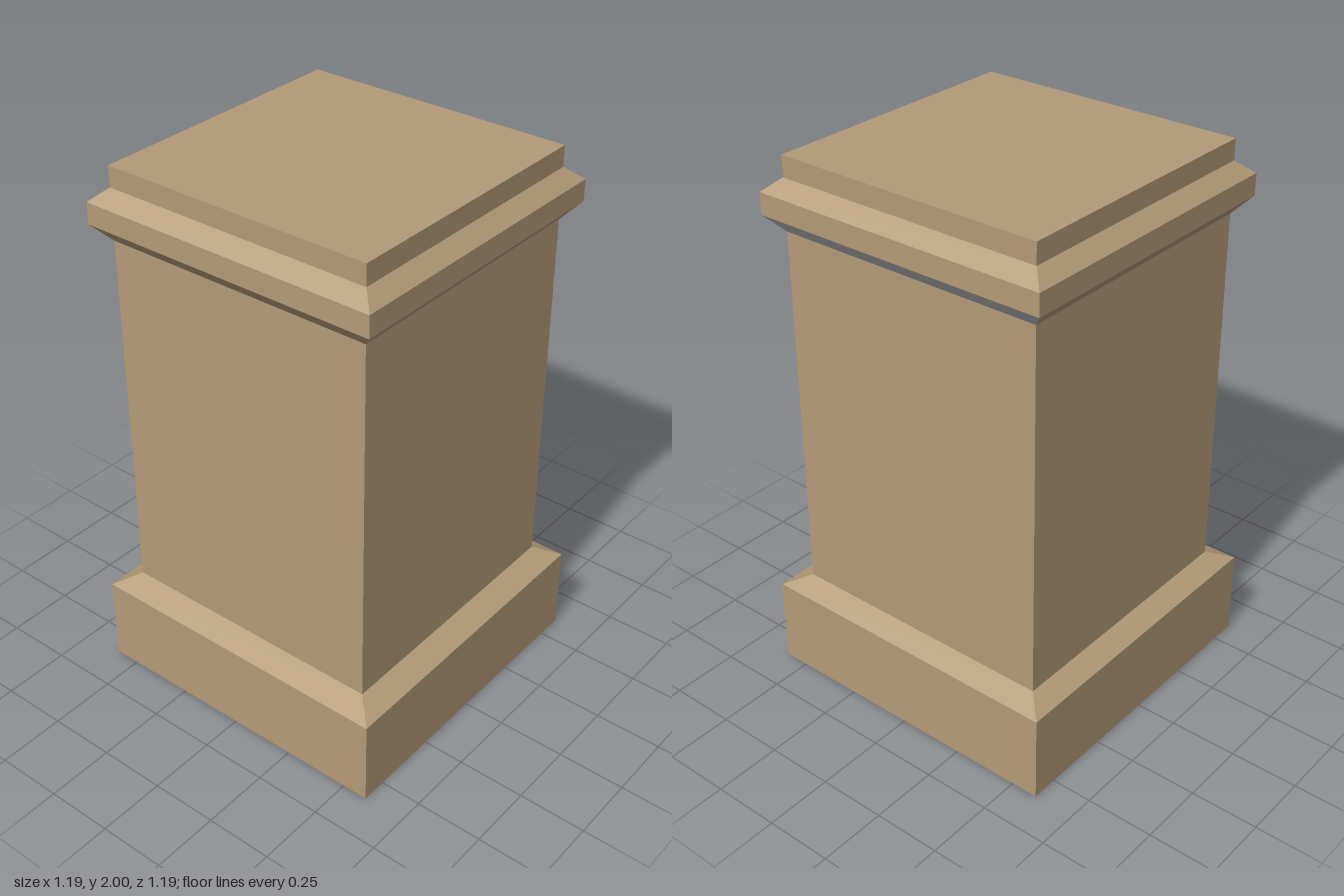
import * as THREE from 'three';

const OFFSET = -0.007; // shaft and cornice sit slightly off the plinth's centre

// Square ring of a given half width and height, counter-clockwise from above
function ring(half, y, offset = OFFSET) {
  return [[-1, 1], [1, 1], [1, -1], [-1, -1]].map(
    ([x, z]) => [x * half + offset, y, z * half + offset]);
}

// Open, flat-sided shell through square rings; sides run front, +x, back, -x
function shell(rings, materialOf = () => 0) {
  const positions = [];
  const geometry = new THREE.BufferGeometry();
  for (let i = 0; i < rings.length - 1; i++) {
    const lower = rings[i], upper = rings[i + 1];
    for (let side = 0; side < 4; side++) {
      const next = (side + 1) % 4;
      const a = lower[side], b = lower[next], c = upper[next], d = upper[side];
      geometry.addGroup(positions.length / 3, 6, materialOf(i, side));
      positions.push(...a, ...b, ...c, ...a, ...c, ...d);
    }
  }
  geometry.setAttribute('position', new THREE.Float32BufferAttribute(positions, 3));
  geometry.computeVertexNormals();
  return geometry;
}

export function createModel() {
  const group = new THREE.Group();
  const stone = new THREE.MeshStandardMaterial({ color: 0xb39a78, side: THREE.DoubleSide });
  stone.name = 'tan stone';
  const grey = new THREE.MeshStandardMaterial({ color: 0xb8b8b8, side: THREE.DoubleSide });
  grey.name = 'bare grey';

  const add = (name, geometry) => {
    const mesh = new THREE.Mesh(geometry, [stone, grey]);
    mesh.name = name;
    group.add(mesh);
    return mesh;
  };

  // Plinth: hollow, open underneath, with a sloping shoulder
  add('plinth', shell([ring(0.597, 0, -0.002), ring(0.597, 0.326, -0.002), ring(0.515, 0.367)]));

  // Shaft
  add('shaft', shell([ring(0.515, 0.367), ring(0.515, 1.736)]));

  // Cornice: flares out, upright band, slopes back in; the back underside is grey
  add('cornice', shell(
    [ring(0.515, 1.736), ring(0.57, 1.798), ring(0.57, 1.877), ring(0.515, 1.924)],
    (band, side) => (band === 0 && side === 2 ? 1 : 0)));

  // Cap block and its flat top
  add('cap', shell([ring(0.515, 1.924), ring(0.515, 2)]));
  const top = new THREE.Mesh(new THREE.PlaneGeometry(1.03, 1.03).rotateX(-Math.PI / 2), stone);
  top.name = 'capTop';
  top.position.set(OFFSET, 2, OFFSET);
  group.add(top);

  return group;
}
